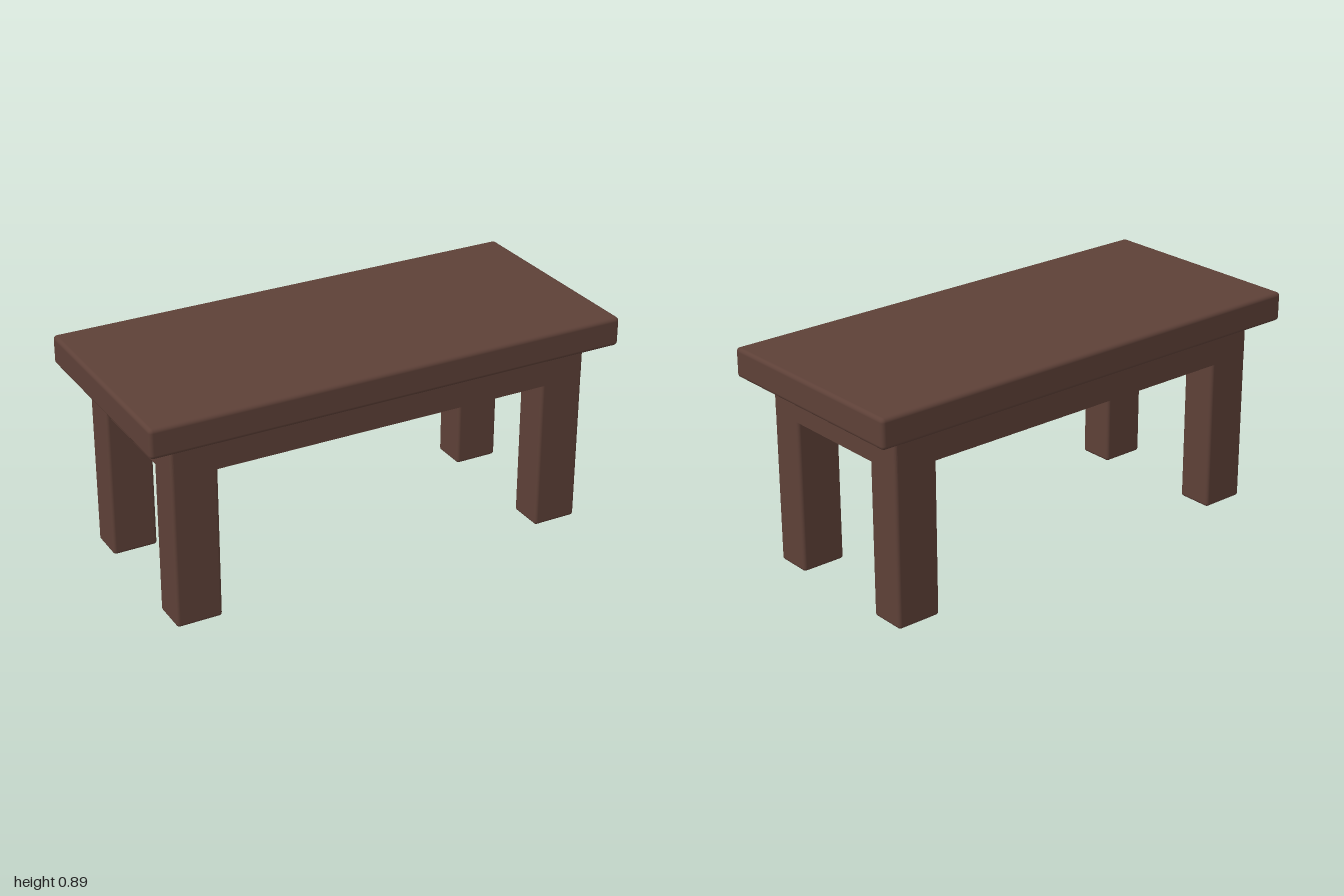
import * as THREE from 'three';
import { RoundedBoxGeometry } from 'three/addons/geometries/RoundedBoxGeometry.js';

const wood = new THREE.MeshStandardMaterial({ color: 0x5d4037 });
wood.name = 'dark brown wood';

function addMesh(parent, name, geometry, x = 0, y = 0, z = 0) {
  const mesh = new THREE.Mesh(geometry, wood);
  mesh.name = name;
  mesh.position.set(x, y, z);
  parent.add(mesh);
  return mesh;
}

// Upright slab with rounded corners whose top edge may spread outward by flare
function roundedSlab(hx, hz, height, r, flare = 0) {
  const s = new THREE.Shape();
  s.absarc(hx - r, hz - r, r, 0, Math.PI / 2);
  s.absarc(-hx + r, hz - r, r, Math.PI / 2, Math.PI);
  s.absarc(-hx + r, -hz + r, r, Math.PI, Math.PI * 1.5);
  s.absarc(hx - r, -hz + r, r, Math.PI * 1.5, Math.PI * 2);
  const geo = new THREE.ExtrudeGeometry(s, { depth: height, bevelEnabled: false, curveSegments: 4 });
  geo.rotateX(-Math.PI / 2);
  const p = geo.attributes.position;
  for (let i = 0; i < p.count; i++) {
    if (p.getY(i) > height / 2) {
      p.setX(i, p.getX(i) + Math.sign(p.getX(i)) * flare);
      p.setZ(i, p.getZ(i) + Math.sign(p.getZ(i)) * flare);
    }
  }
  geo.computeVertexNormals();
  return geo;
}

export function createModel() {
  const table = new THREE.Group();
  table.name = 'table';

  // Overhanging top with softened edges
  addMesh(table, 'tableTop', new RoundedBoxGeometry(2, 0.12, 0.91, 3, 0.016), 0, 0.834, 0);

  // Solid frame under the top, with a small flare where they meet
  addMesh(table, 'frame', roundedSlab(0.89, 0.377, 0.132, 0.012), 0, 0.63, 0);
  addMesh(table, 'frameFlare', roundedSlab(0.89, 0.377, 0.016, 0.012, 0.017), 0, 0.762, 0);

  // Four square legs, their tops sunk into the frame
  for (const sx of [-1, 1]) {
    for (const sz of [-1, 1]) {
      const name = (sz > 0 ? 'front' : 'back') + (sx > 0 ? 'Left' : 'Right') + 'Leg';
      addMesh(table, name, new RoundedBoxGeometry(0.187, 0.7, 0.152, 3, 0.013), sx * 0.7965, 0.35, sz * 0.301);
    }
  }
  return table;
}
